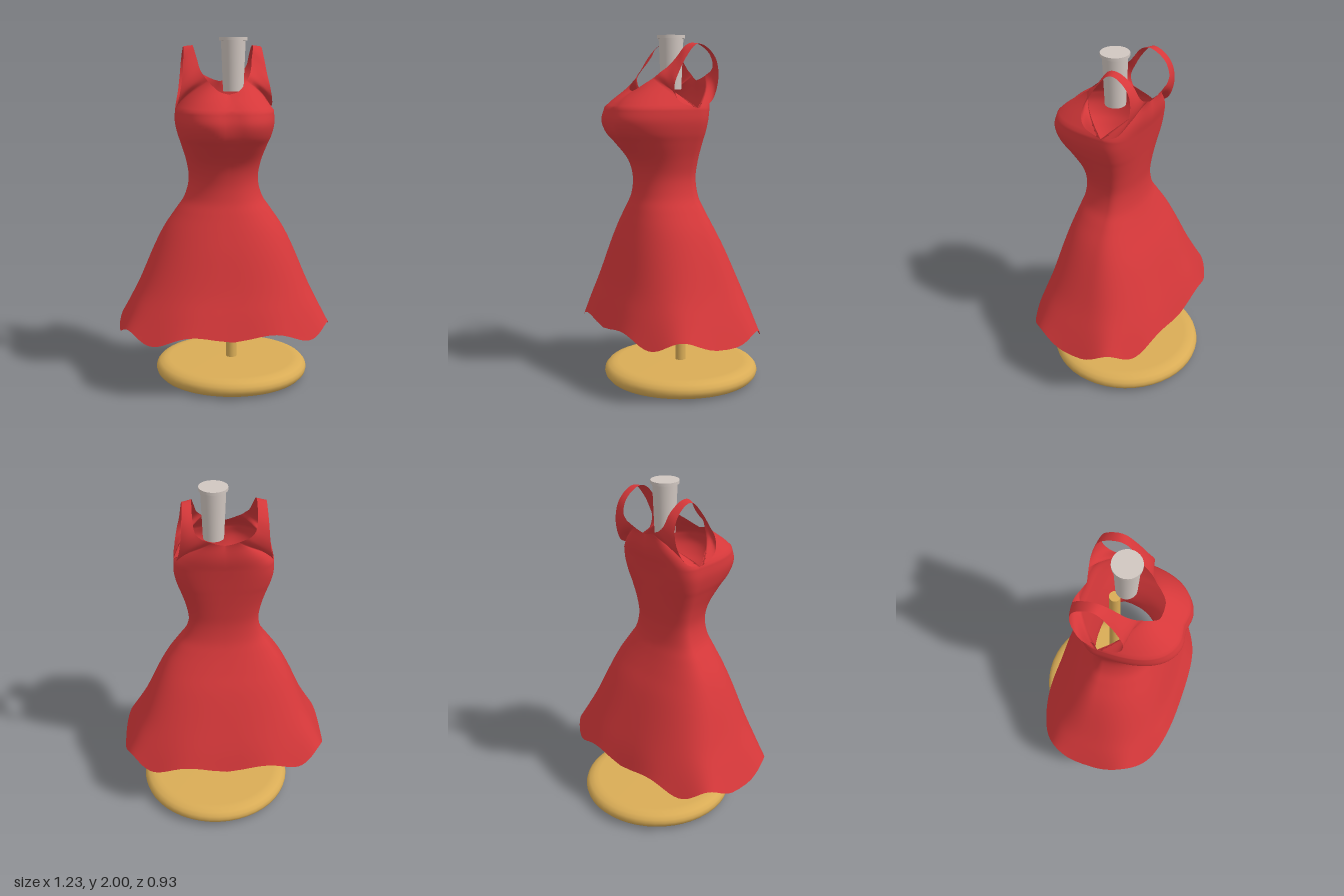
import * as THREE from 'three';
import { mergeGeometries, mergeVertices } from 'three/addons/utils/BufferGeometryUtils.js';

const V = (x, y, z) => new THREE.Vector3(x, y, z);
const { lerp } = THREE.MathUtils;

// Dress levels from hem to bust: [y, half width, front z, back z, squareness]
const levels = [
  [0.35, 0.615, 0.46, 0.37, 2.9], [0.47, 0.555, 0.425, 0.335, 2.8], [0.6, 0.49, 0.385, 0.29, 2.7],
  [0.8, 0.405, 0.335, 0.215, 2.5], [0.92, 0.345, 0.3, 0.16, 2.4], [1.02, 0.278, 0.268, 0.118, 2.3],
  [1.1, 0.225, 0.245, 0.093, 2.2], [1.2, 0.2, 0.24, 0.085, 2.2], [1.3, 0.213, 0.267, 0.095, 2.3],
  [1.4, 0.243, 0.345, 0.11, 2.5], [1.46, 0.263, 0.395, 0.12, 2.7], [1.53, 0.277, 0.416, 0.132, 2.8],
  [1.6, 0.275, 0.395, 0.145, 2.8],
];
const sizes = new THREE.CatmullRomCurve3(levels.map((l) => V(l[1], l[2], l[3])), false, 'catmullrom');
const heights = new THREE.CatmullRomCurve3(levels.map((l) => V(0, l[0], l[4])), false, 'catmullrom');

// Point on the dress body: angle from +90 (front) through 0 (side) to -90 (back)
function bodyPoint(angle, v) {
  const s = sizes.getPoint(v), h = heights.getPoint(v);
  const a = angle * Math.PI / 180, p = 2 / h.z;
  const x = s.x * Math.pow(Math.abs(Math.cos(a)), p);
  const sin = Math.pow(Math.abs(Math.sin(a)), p);
  let z = a > 0 ? s.y * sin : -s.z * sin;
  // slight hollow between the two sides of the bust
  if (a > 0) z -= 0.02 * Math.exp(-((x / 0.06) ** 2) - ((h.y - 1.54) / 0.09) ** 2);
  // wavy hem that fades out up the skirt
  const wave = -0.03 * Math.cos(7 * Math.abs(a)) * Math.max(0, 1 - v * 4) ** 2;
  return V(x, h.y + wave, z);
}

// Neckline from front centre over the shoulder to back centre
const neckline = new THREE.CatmullRomCurve3([
  V(0, 1.69, 0.265), V(0.05, 1.705, 0.258), V(0.085, 1.735, 0.225), V(0.11, 1.765, 0.185),
  V(0.13, 1.795, 0.155), V(0.145, 1.83, 0.11), V(0.155, 1.88, 0.065), V(0.168, 1.935, 0.025),
  V(0.172, 1.957, -0.02), V(0.172, 1.945, -0.075), V(0.17, 1.9, -0.135), V(0.16, 1.84, -0.165),
  V(0.13, 1.805, -0.172), V(0.1, 1.79, -0.17), V(0.07, 1.775, -0.165), V(0.035, 1.76, -0.158),
  V(0, 1.75, -0.15),
], false, 'catmullrom');

// Armhole from its lowest point, up the front, over the shoulder and down the back
const armhole = new THREE.CatmullRomCurve3([
  bodyPoint(0, 1), V(0.267, 1.64, 0.11), V(0.252, 1.72, 0.132), V(0.238, 1.8, 0.095),
  V(0.23, 1.88, 0.045), V(0.224, 1.947, -0.02), V(0.224, 1.935, -0.085), V(0.228, 1.875, -0.142),
  V(0.235, 1.79, -0.158), V(0.247, 1.7, -0.138), V(0.264, 1.63, -0.09), bodyPoint(0, 1),
], false, 'catmullrom');

// Lower edge of the yoke: bust ring, then armhole, then back ring (u runs 0..16)
function yokeEdge(u) {
  if (u <= 3) return bodyPoint(90 * (1 - u / 3), 1);
  if (u >= 14) return bodyPoint(-90 * (u - 14) / 2, 1);
  return armhole.getPoint((u - 3) / 11);
}

function yokePoint(u, v) {
  const low = yokeEdge(u), high = neckline.getPoint(u / 16);
  const bulge = 0.07 * low.distanceTo(high) * Math.sin(Math.PI * v);
  const p = low.lerp(high, v);
  return p.add(V(p.x, 0, p.z).normalize().multiplyScalar(bulge));
}

// Sheet of quads from a point function
function sheet(columns, rows, point) {
  const pos = [], index = [];
  for (let j = 0; j <= rows; j++) {
    for (let i = 0; i <= columns; i++) pos.push(...point(i, j / rows).toArray());
  }
  for (let j = 0; j < rows; j++) {
    for (let i = 0; i < columns; i++) {
      const a = j * (columns + 1) + i, c = a + columns + 1;
      index.push(a, a + 1, c, a + 1, c + 1, c);
    }
  }
  const g = new THREE.BufferGeometry();
  g.setAttribute('position', new THREE.Float32BufferAttribute(pos, 3));
  g.setIndex(index);
  return g;
}

function mirrored(geometry) {
  const g = geometry.clone().scale(-1, 1, 1);
  g.setIndex(Array.from(g.index.array).reverse());
  return g;
}

function dressGeometry() {
  const body = sheet(48, 60, (i, v) => bodyPoint(90 - i * 3.75, v));
  const yoke = sheet(92, 8, (i, v) => {
    const u = i <= 24 ? i / 8 : i <= 68 ? 3 + (i - 24) / 4 : 14 + (i - 68) / 12;
    return yokePoint(u, v);
  });
  const half = mergeGeometries([body, yoke]);
  const g = mergeVertices(mergeGeometries([half, mirrored(half)]), 1e-3);
  g.computeVertexNormals();
  return g;
}

export function createModel() {
  const model = new THREE.Group();
  const red = new THREE.MeshStandardMaterial({ color: 0xd6383a, side: THREE.DoubleSide });
  const gold = new THREE.MeshStandardMaterial({ color: 0xd9ac56 });
  const grey = new THREE.MeshStandardMaterial({ color: 0xd0c6c0 });
  const add = (name, geometry, material, x = 0, y = 0, z = 0) => {
    const mesh = new THREE.Mesh(geometry, material);
    mesh.name = name;
    mesh.position.set(x, y, z);
    model.add(mesh);
  };
  const lathe = (points, sides) =>
    new THREE.LatheGeometry(points.map(([r, y]) => new THREE.Vector2(r, y)), sides);

  add('dress', dressGeometry(), red);

  // Stand: round-edged foot and pole
  add('base', lathe([[0, 0], [0.37, 0], [0.4, 0.002], [0.43, 0.013], [0.447, 0.032], [0.452, 0.052],
    [0.447, 0.072], [0.43, 0.091], [0.4, 0.102], [0.37, 0.104], [0, 0.104]], 48), gold, 0.053, 0, -0.02);
  add('pole', new THREE.CylinderGeometry(0.031, 0.031, 1.45, 24), gold, 0.053, 0.83, -0.018);

  // Neck post with a slightly wider cap
  add('neckPost', new THREE.CylinderGeometry(0.07, 0.058, 0.285, 32), grey, 0.053, 1.8425, 0.045);
  add('neckCap', new THREE.CylinderGeometry(0.08, 0.08, 0.017, 32), grey, 0.053, 1.9915, 0.045);
  return model;
}
